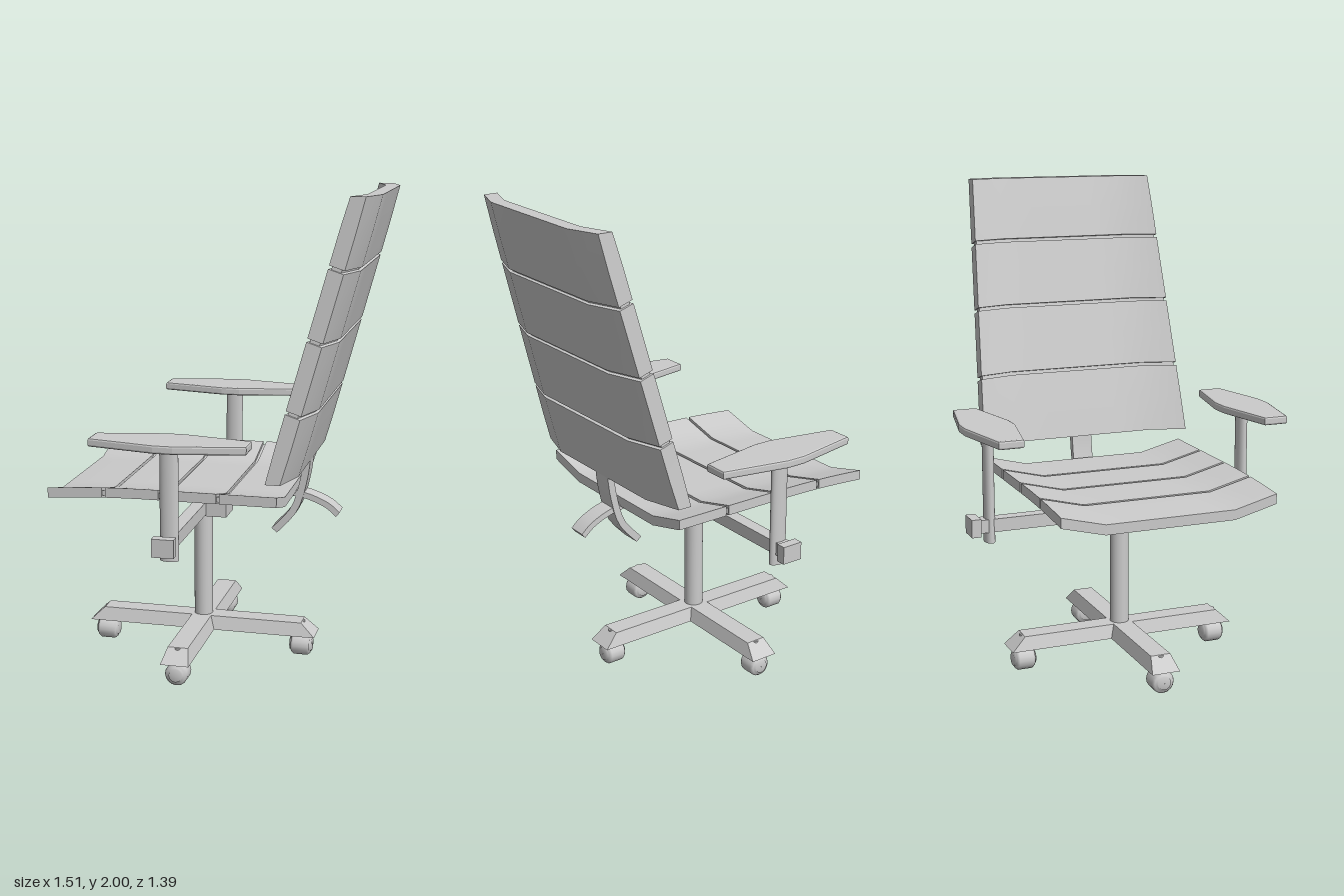
import * as THREE from 'three';

const mat = new THREE.MeshStandardMaterial({ color: 0xcccccc, side: THREE.DoubleSide });

function add(parent, name, geo, x = 0, y = 0, z = 0) {
  const m = new THREE.Mesh(geo, mat);
  m.name = name;
  m.position.set(x, y, z);
  parent.add(m);
  return m;
}

const box = (w, h, d) => new THREE.BoxGeometry(w, h, d);

// Box whose vertices (each coordinate -0.5..0.5) are moved by a rule
function warped(nx, ny, nz, rule) {
  const g = new THREE.BoxGeometry(1, 1, 1, nx, ny, nz);
  const p = g.attributes.position;
  for (let i = 0; i < p.count; i++) p.setXYZ(i, ...rule(p.getX(i), p.getY(i), p.getZ(i)));
  g.computeVertexNormals();
  return g;
}

// Seat: flat centre, raised sides, front edge dropping slightly
function seatSlat(back, front, half, top, bottom) {
  return warped(10, 1, 3, (a, b, c) => {
    const x = a * 2 * half;
    const z = THREE.MathUtils.lerp(back, front, c + 0.5);
    const rise = 0.047 * Math.max(0, Math.abs(x) - 0.276) / 0.184;
    const y = 0.78 - 0.1 * Math.max(0, z - 0.1) ** 2 + rise;
    return [x, y - (b > 0 ? top : bottom), z];
  });
}

// Backrest: tapering, leaning back, with sides folded forward
function backSlat(y0, y1, inset, front, rear) {
  return warped(6, 2, 1, (a, b, c) => {
    const yMid = THREE.MathUtils.lerp(y0, y1, b + 0.5);
    const t = (yMid - 0.88) / 1.12;
    const half = THREE.MathUtils.lerp(0.475, 0.412, t) - inset;
    const fold = 0.046 * Math.max(0, Math.abs(a) * 2 - 0.667) / 0.333;
    const z = -0.412 - 0.306 * t + fold - (c > 0 ? front : rear);
    // seams are square to the leaning panel; outer ends are level
    const tilt = yMid > 0.89 && yMid < 1.99 ? c * 0.02 : 0;
    return [a * 2 * half, yMid + tilt, z];
  });
}

// Flat strap of given width swept along (z, y) points
function strap(points, width, thick) {
  const path = new THREE.SplineCurve(points.map(([z, y]) => new THREE.Vector2(z, y)));
  return warped(1, 10, 1, (a, b, c) => {
    const p = path.getPoint(b + 0.5);
    const d = path.getTangent(b + 0.5);
    return [a * width, p.y + d.x * c * thick, p.x - d.y * c * thick];
  });
}

// Hollow star leg: tapered shell open underneath
function legShell() {
  const g = warped(1, 1, 1, (a, b, c) => [
    a * (b > 0 ? 0.085 : 0.12),
    b > 0 ? 0.157 : 0.1,
    c < 0 ? 0 : (b > 0 ? 0.44 : 0.5),
  ]);
  const keep = Array.from(g.index.array).filter((_, i) => {
    const face = Math.floor(i / 6); // order: +x -x +y -y +z -z
    return face !== 3 && face !== 5;
  });
  g.setIndex(keep);
  return g;
}

export function createModel() {
  const model = new THREE.Group();
  model.name = 'officeChair';
  const chair = new THREE.Group();
  chair.name = 'turnedChair';
  chair.rotation.y = -1.186;
  chair.position.set(-0.077, 0, 0.007);
  model.add(chair);

  // Four-legged base with casters
  const casterProfile = [[0.001, -0.048], [0.028, -0.048], [0.03, -0.04], [0.04, -0.04], [0.048, -0.03],
    [0.048, 0.03], [0.04, 0.04], [0.03, 0.04], [0.028, 0.048], [0.001, 0.048]];
  for (let i = 0; i < 4; i++) {
    const leg = new THREE.Group();
    leg.name = 'baseLeg';
    leg.rotation.y = i * Math.PI / 2;
    add(leg, 'legShell', legShell());
    const wheelGeo = new THREE.LatheGeometry(casterProfile.map(([r, y]) => new THREE.Vector2(r, y)), 16);
    add(leg, 'casterWheel', wheelGeo, 0, 0.05, 0.435).rotation.x = Math.PI / 2;
    add(leg, 'casterStem', new THREE.CylinderGeometry(0.015, 0.015, 0.06, 10), 0, 0.125, 0.435);
    chair.add(leg);
  }

  // Column and mechanism
  add(chair, 'column', new THREE.CylinderGeometry(0.04, 0.04, 0.6, 24), 0, 0.41, 0);
  add(chair, 'hubBlock', box(0.13, 0.07, 0.15), 0, 0.647, -0.04);
  add(chair, 'seatNeck', box(0.08, 0.06, 0.07), 0, 0.7, 0);
  add(chair, 'seatPlate', box(0.16, 0.025, 0.28), 0, 0.722, 0);
  add(chair, 'seatRail', box(0.06, 0.025, 0.5), 0, 0.73, -0.17);

  // Cross bar and armrests
  add(chair, 'crossBar', box(1.26, 0.055, 0.055), 0, 0.648, 0);
  const pad = new THREE.Shape([
    [-0.05, 0.315], [0.05, 0.315], [0.105, 0.04], [0.105, -0.04],
    [0.05, -0.315], [-0.05, -0.315], [-0.105, -0.04], [-0.105, 0.04],
  ].map(([x, y]) => new THREE.Vector2(x, y)));
  const padGeo = new THREE.ExtrudeGeometry(pad, {
    depth: 0.019, bevelThickness: 0.008, bevelSize: 0.008, bevelOffset: -0.006, bevelSegments: 2,
  });
  padGeo.rotateX(-Math.PI / 2);
  for (const side of [-1, 1]) {
    const arm = new THREE.Group();
    arm.name = side > 0 ? 'leftArm' : 'rightArm';
    add(arm, 'barEnd', box(0.04, 0.075, 0.09), side * 0.64, 0.648, 0);
    const post = add(arm, 'armPost', new THREE.CylinderGeometry(1, 1, 0.47, 24), side * 0.572, 0.81, -0.005);
    post.scale.set(0.022, 1, 0.038);
    add(arm, 'armPad', padGeo, side * 0.572, 1.039, -0.008);
    chair.add(arm);
  }

  // Seat slats with recessed strips in the seams
  const seat = new THREE.Group();
  seat.name = 'seat';
  for (let i = 0; i < 4; i++) {
    const z = -0.41 + i * 0.2375;
    add(seat, 'seatSlat', seatSlat(z + (i ? 0.007 : 0), z + 0.2375 - (i < 3 ? 0.007 : 0), 0.458, 0, 0.042));
    if (i) add(seat, 'seatSeam', seatSlat(z - 0.01, z + 0.01, 0.45, 0.012, 0.034));
  }
  chair.add(seat);

  // Backrest slats with recessed strips in the seams
  const backrest = new THREE.Group();
  backrest.name = 'backrest';
  const seams = [0.88, 1.16, 1.445, 1.725, 2];
  for (let i = 0; i < 4; i++) {
    const y0 = seams[i] + (i ? 0.007 : 0);
    const y1 = seams[i + 1] - (i < 3 ? 0.007 : 0);
    add(backrest, 'backSlat', backSlat(y0, y1, 0, 0, 0.06));
    if (i) add(backrest, 'backSeam', backSlat(seams[i] - 0.012, seams[i] + 0.012, 0.008, 0.012, 0.048));
  }
  chair.add(backrest);

  // Curved straps joining the backrest to the seat
  add(chair, 'backStrap', strap([[-0.46, 0.92], [-0.445, 0.8], [-0.405, 0.665], [-0.32, 0.565]], 0.09, 0.03));
  add(chair, 'tailStrap', strap([[-0.34, 0.74], [-0.45, 0.725], [-0.54, 0.69], [-0.59, 0.65]], 0.08, 0.025));

  return model;
}
